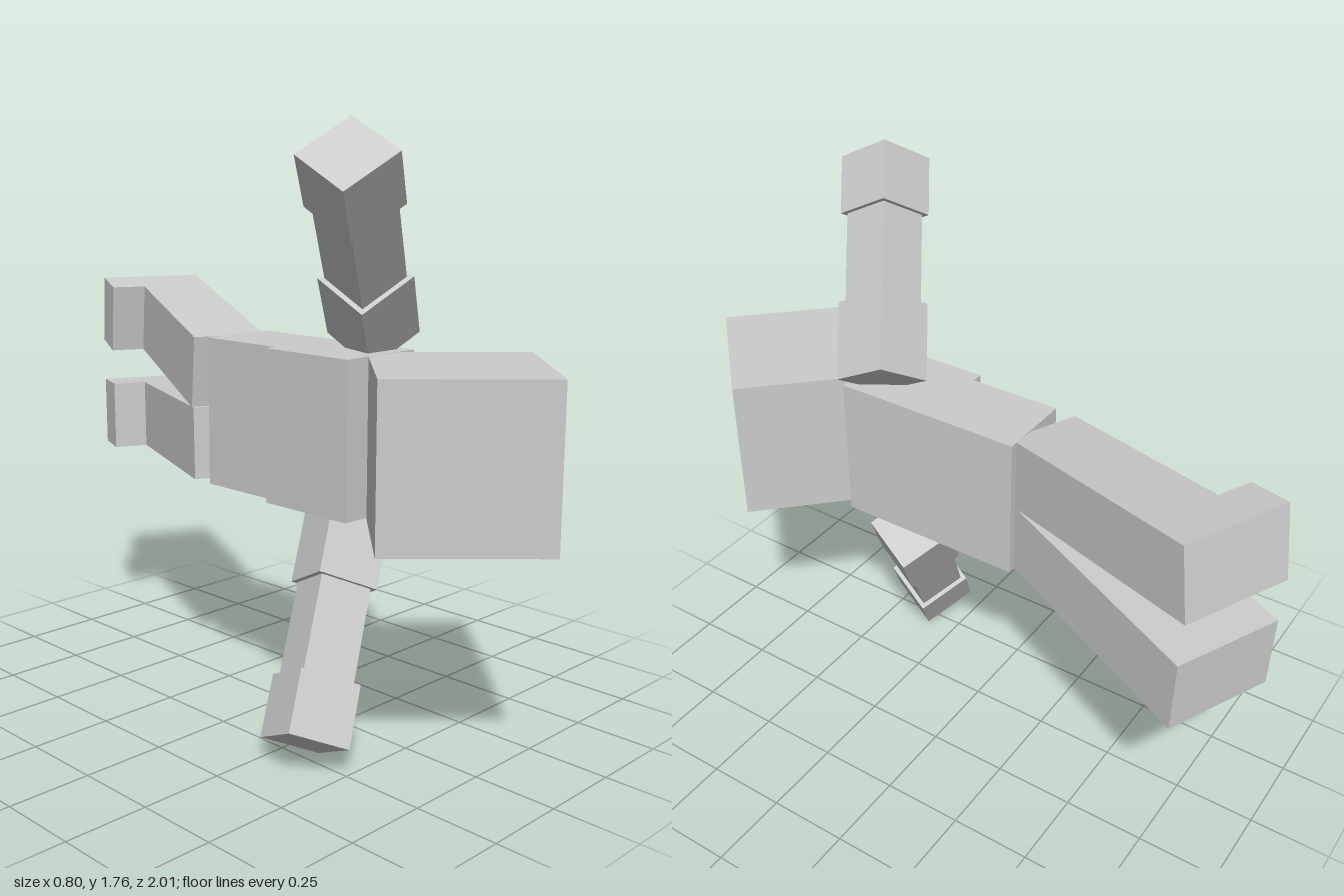
import * as THREE from 'three';

const material = new THREE.MeshStandardMaterial({ color: 0xcccccc, flatShading: true });

// Box given by its minimum and maximum corners
function block(name, min, max) {
  const size = max.map((v, i) => v - min[i]);
  const mesh = new THREE.Mesh(new THREE.BoxGeometry(...size), material);
  mesh.name = name;
  mesh.position.set(...max.map((v, i) => (v + min[i]) / 2));
  return mesh;
}

// Arm of three square blocks; local z runs from the hand tip to the shoulder
function arm(name, tip, side, across) {
  const group = new THREE.Group();
  group.name = name;
  const parts = [
    ['hand', 0.186, 0, 0.18],
    ['forearm', 0.158, 0.18, 0.455],
    ['upperArm', 0.186, 0.455, 0.69],
  ];
  for (const [part, width, start, end] of parts) {
    const h = width / 2;
    group.add(block(part, [-h, -h, start], [h, h, end]));
  }
  const u = new THREE.Vector3(...side).normalize();
  const w = u.clone().cross(new THREE.Vector3(...across)).normalize();
  const v = w.clone().cross(u);
  group.setRotationFromMatrix(new THREE.Matrix4().makeBasis(u, v, w));
  group.position.set(...tip);
  return group;
}

// Leg with foot: L-shaped outline, local -z along the leg, toes towards -x
function leg(name, start, top, pitch) {
  const thick = 0.225, length = 0.765, width = 0.224, toe = 0.333, sole = 0.14;
  const outline = new THREE.Shape([
    [-width, 0], [0, 0], [0, length], [-toe, length], [-toe, length - sole], [-width, length - sole],
  ].map(([x, y]) => new THREE.Vector2(x, y)));
  const geometry = new THREE.ExtrudeGeometry(outline, { depth: thick, bevelEnabled: false });
  geometry.rotateX(-Math.PI / 2);
  geometry.translate(0, -thick, 0);
  const mesh = new THREE.Mesh(geometry, material);
  mesh.name = name;
  // Swing both legs backwards, then pitch each one apart
  const swing = 0.433;
  mesh.rotation.set(pitch, -swing, 0, 'YXZ');
  mesh.position.set(Math.sin(swing) * start, top, -Math.cos(swing) * start);
  return mesh;
}

export function createModel() {
  const model = new THREE.Group();
  model.name = 'blockFigure';

  // Head turned 45 degrees
  const head = block('head', [-0.23, 0.686, -0.23], [0.23, 1.139, 0.23]);
  head.position.x = -0.015;
  head.position.z = 0.67;
  head.rotation.y = Math.PI / 4;
  model.add(head);

  // Torso with a raised chest on its front side
  model.add(block('torso', [-0.13, 0.69, -0.187], [0.11, 1.14, 0.41]));
  model.add(block('chest', [-0.165, 0.69, 0.1], [-0.13, 1.14, 0.41]));

  // Arms reaching forwards and outwards
  model.add(arm('rightArm', [-0.325, 1.677, 0.55], [0, -0.09, 0.17], [-0.15, -0.095, -0.05]));
  model.add(arm('leftArm', [-0.3, 0.085, 0.388], [0.15, -0.07, 0.08], [0.05, -0.08, -0.16]));

  // Legs spread apart behind the torso
  model.add(leg('rightLeg', 0.172, 1.135, 0.16));
  model.add(leg('leftLeg', 0.19, 0.915, -0.03));

  return model;
}
